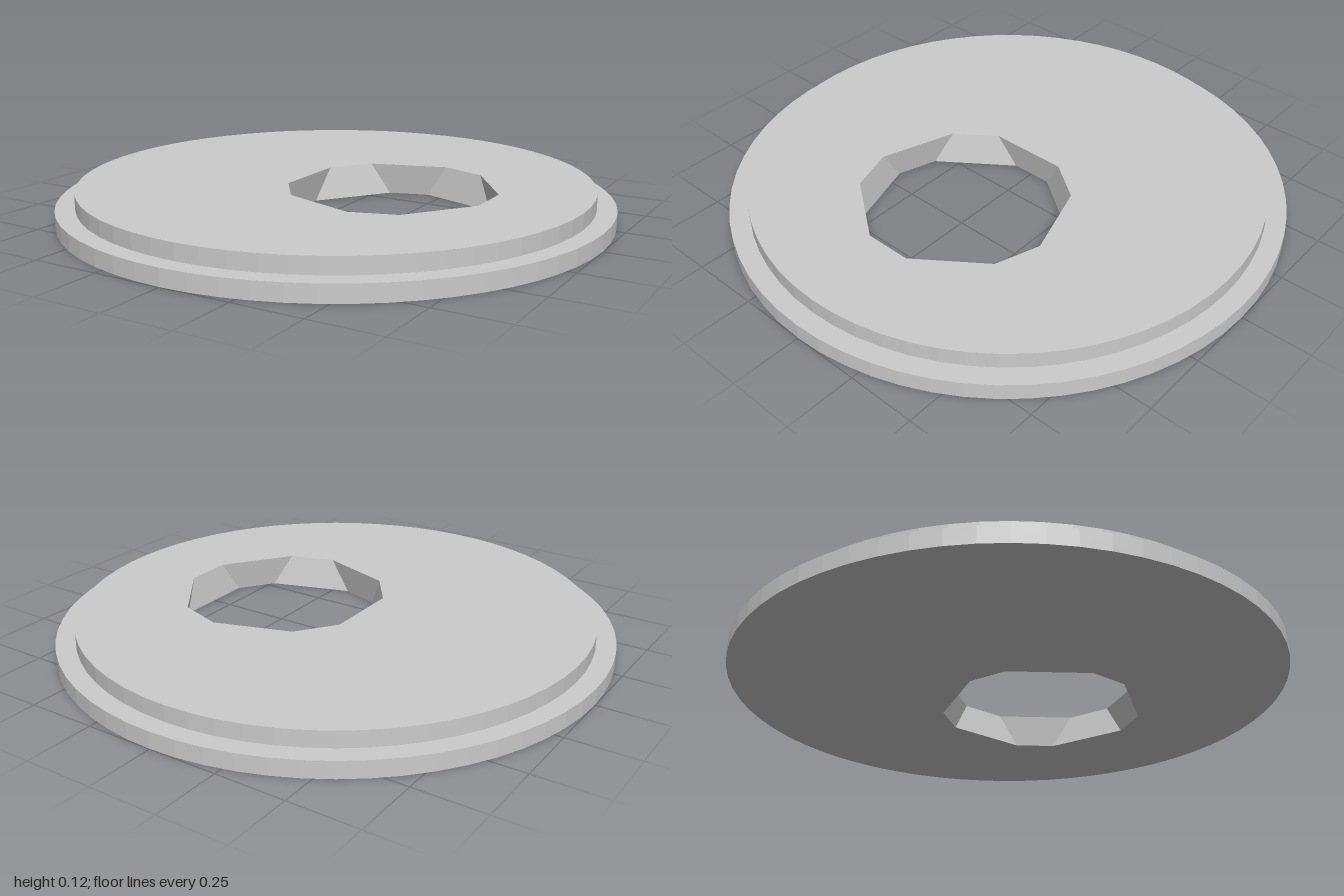
import * as THREE from 'three';

const SEG = 64;
const BASE_R = 1, STEP_R = 0.93, STEP_Y = 0.06, TOP_Y = 0.118;
// The hole is an icosahedral cavity cut through its middle band
const HOLE = { x: 0.235, y: 0.068, r: 0.44 };

// Ten-cornered section of the cavity at height y, as [x, z] pairs
function holeSection(y) {
  const ringR = HOLE.r * 0.8944, ringY = HOLE.r * 0.4472;
  const t = (y - HOLE.y + ringY) / (2 * ringY); // 0 = lower ring, 1 = upper ring
  const step = Math.PI / 5;
  return Array.from({ length: 10 }, (_, i) => {
    const up = (i % 2 ? i + 1 : i) * step; // upper ring corner of this edge
    const low = (i % 2 ? i : i + 1) * step; // lower ring corner of this edge
    return [
      HOLE.x + ringR * (t * Math.cos(up) + (1 - t) * Math.cos(low)),
      ringR * (t * Math.sin(up) + (1 - t) * Math.sin(low)),
    ];
  });
}

// Flat disc with the hole's section cut out, facing up (1) or down (-1)
function face(radius, y, dir) {
  const circle = Array.from({ length: SEG }, (_, i) => {
    const a = (i / SEG) * Math.PI * 2;
    return new THREE.Vector2(radius * Math.cos(a), radius * Math.sin(a));
  });
  const shape = new THREE.Shape(circle);
  shape.holes.push(new THREE.Path(holeSection(y).map(([x, z]) => new THREE.Vector2(x, -dir * z))));
  return new THREE.ShapeGeometry(shape).rotateX((-dir * Math.PI) / 2).translate(0, y, 0);
}

function rim(radius, y0, y1) {
  return new THREE.CylinderGeometry(radius, radius, y1 - y0, SEG, 1, true).translate(0, (y0 + y1) / 2, 0);
}

// Ten leaning facets joining the lower and upper sections
function holeWall() {
  const low = holeSection(0), top = holeSection(TOP_Y);
  const pos = [];
  for (let i = 0; i < 10; i++) {
    const j = (i + 1) % 10;
    const at = (p, y) => [p[0], y, p[1]];
    const a = at(low[i], 0), b = at(low[j], 0), c = at(top[j], TOP_Y), d = at(top[i], TOP_Y);
    pos.push(...a, ...b, ...c, ...a, ...c, ...d);
  }
  const geo = new THREE.BufferGeometry();
  geo.setAttribute('position', new THREE.Float32BufferAttribute(pos, 3));
  geo.computeVertexNormals();
  return geo;
}

export function createModel() {
  const group = new THREE.Group();
  group.name = 'steppedDisc';
  const material = new THREE.MeshStandardMaterial({ color: 0xcccccc, flatShading: true });
  const add = (name, geometry) => {
    const mesh = new THREE.Mesh(geometry, material);
    mesh.name = name;
    group.add(mesh);
  };

  // Wide base layer
  add('underside', face(BASE_R, 0, -1));
  add('baseRim', rim(BASE_R, 0, STEP_Y));
  add('ledge', new THREE.RingGeometry(STEP_R, BASE_R, SEG).rotateX(-Math.PI / 2).translate(0, STEP_Y, 0));

  // Narrower upper layer
  add('upperRim', rim(STEP_R, STEP_Y, TOP_Y));
  add('topFace', face(STEP_R, TOP_Y, 1));

  // Off-centre faceted hole
  add('holeWall', holeWall());
  return group;
}
